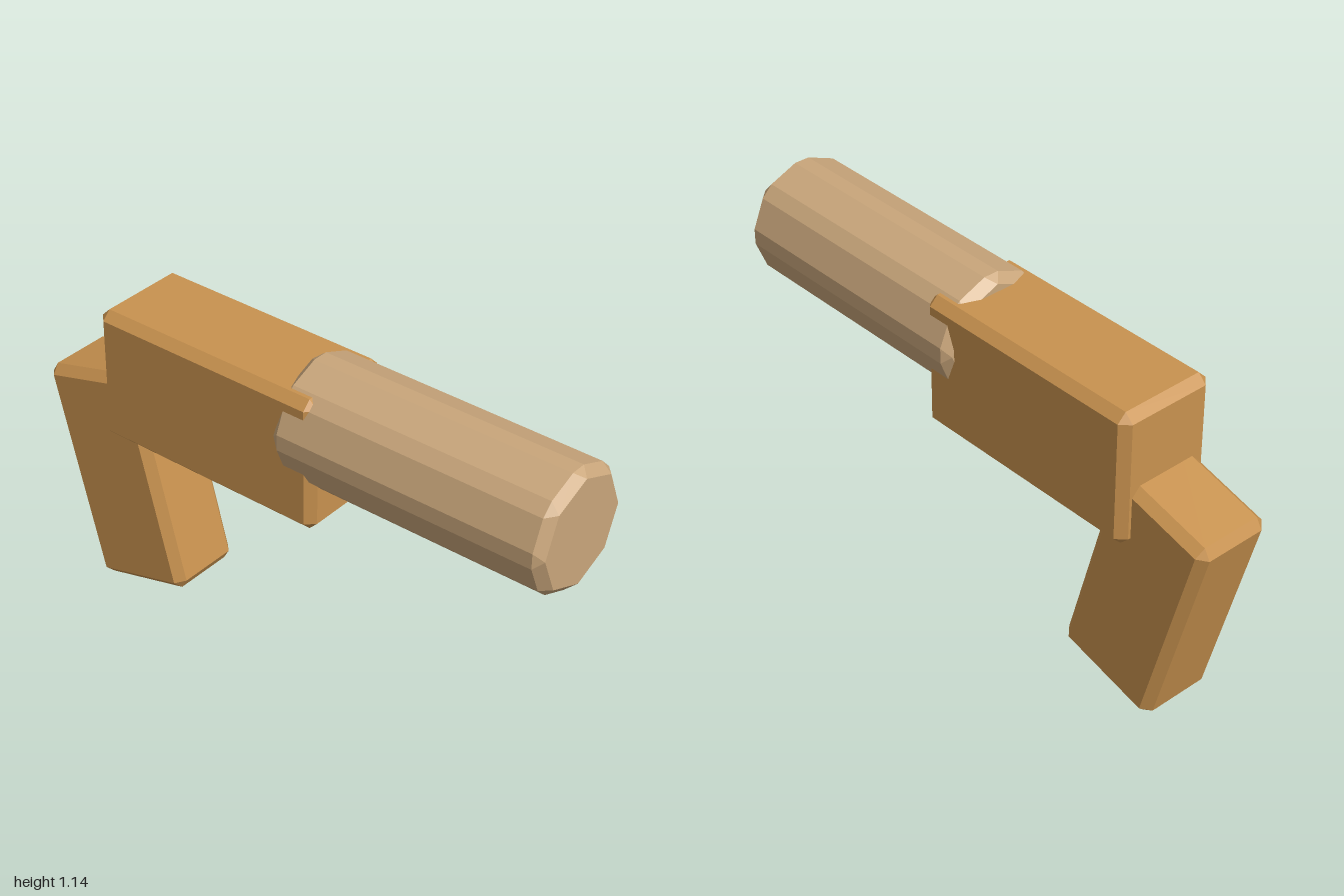
import * as THREE from 'three';
import { ConvexGeometry } from 'three/addons/geometries/ConvexGeometry.js';

const BEVEL = 0.03;

// Box with every edge cut by a flat bevel
function bevelledBox(w, h, d, b = BEVEL) {
  const points = [];
  for (const sx of [-1, 1]) for (const sy of [-1, 1]) for (const sz of [-1, 1]) {
    for (let full = 0; full < 3; full++) {
      const half = [w, h, d].map((s, i) => s / 2 - (i === full ? 0 : b));
      points.push(new THREE.Vector3(sx * half[0], sy * half[1], sz * half[2]));
    }
  }
  return new ConvexGeometry(points);
}

// Eight-sided rod along z with bevelled long edges and bevelled ends
function bevelledRod(apothem, length, b = BEVEL) {
  const points = [];
  const corner = apothem / Math.cos(Math.PI / 8);
  const capRadius = (apothem - b) / Math.cos(Math.PI / 8);
  const halfFlat = 0.027;
  const flatRadius = corner - halfFlat * Math.tan(Math.PI / 8);
  for (let i = 0; i < 8; i++) {
    const a = i * Math.PI / 4, c = Math.cos(a), s = Math.sin(a);
    for (const end of [-1, 1]) {
      points.push(new THREE.Vector3(capRadius * c, capRadius * s, end * length / 2));
      for (const side of [-halfFlat, halfFlat]) {
        points.push(new THREE.Vector3(
          flatRadius * c - side * s, flatRadius * s + side * c, end * (length / 2 - b)));
      }
    }
  }
  return new ConvexGeometry(points);
}

export function createModel() {
  const model = new THREE.Group();
  const brown = new THREE.MeshStandardMaterial({ color: 0xc8924f });
  brown.name = 'warm brown';
  const tan = new THREE.MeshStandardMaterial({ color: 0xc9a67b });
  tan.name = 'light tan';

  const add = (name, geometry, material, y, z) => {
    const mesh = new THREE.Mesh(geometry, material);
    mesh.name = name;
    mesh.position.set(0, y, z);
    model.add(mesh);
    return mesh;
  };

  add('body', bevelledBox(0.352, 0.47, 0.868), brown, 0.86, -0.28);
  add('barrel', bevelledRod(0.2, 0.985), tan, 0.938, 0.5075);

  // Grip leans back at the top
  const grip = add('grip', bevelledBox(0.273, 0.787, 0.386), brown, 0.423, -0.718);
  grip.rotation.x = -Math.PI / 12;

  return model;
}
